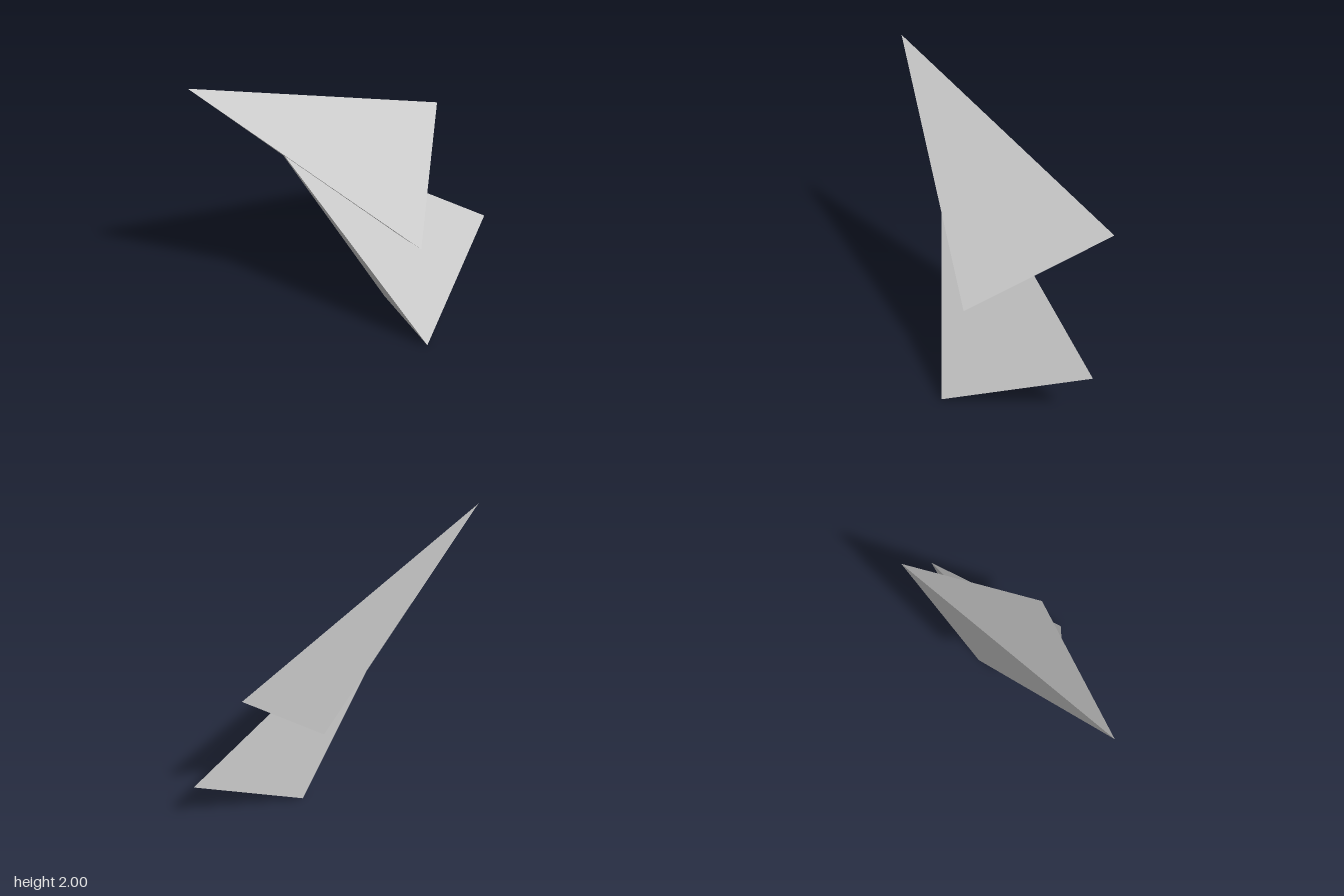
import * as THREE from 'three';

// Closed four-sided shard from its corners; each face is wound to point outward.
function shardGeometry(corners) {
  const points = corners.map((c) => new THREE.Vector3(...c));
  const positions = [];
  for (let skip = 0; skip < 4; skip++) {
    const [a, b, c] = points.filter((_, i) => i !== skip);
    const normal = b.clone().sub(a).cross(c.clone().sub(a));
    const inward = normal.dot(points[skip].clone().sub(a)) > 0;
    for (const p of inward ? [a, c, b] : [a, b, c]) positions.push(p.x, p.y, p.z);
  }
  const geometry = new THREE.BufferGeometry();
  geometry.setAttribute('position', new THREE.Float32BufferAttribute(positions, 3));
  geometry.computeVertexNormals();
  return geometry;
}

export function createModel() {
  const group = new THREE.Group();
  group.name = 'shardPair';

  const lightGrey = new THREE.MeshStandardMaterial({ color: 0xcccccc, flatShading: true });
  lightGrey.name = 'lightGrey';

  // Corners: tip, back, front, underside
  const shards = {
    upperShard: [[-0.85, 2, 0.69], [0.462, 1.26, -0.69], [0.494, 0.692, 0.25], [0.042, 0.653, -0.16]],
    lowerShard: [[-0.48, 1.605, 0.415], [0.848, 0.435, -0.57], [0.578, 0.016, 0.408], [0.21, 0, -0.075]],
  };

  for (const [name, corners] of Object.entries(shards)) {
    const mesh = new THREE.Mesh(shardGeometry(corners), lightGrey);
    mesh.name = name;
    group.add(mesh);
  }
  return group;
}
